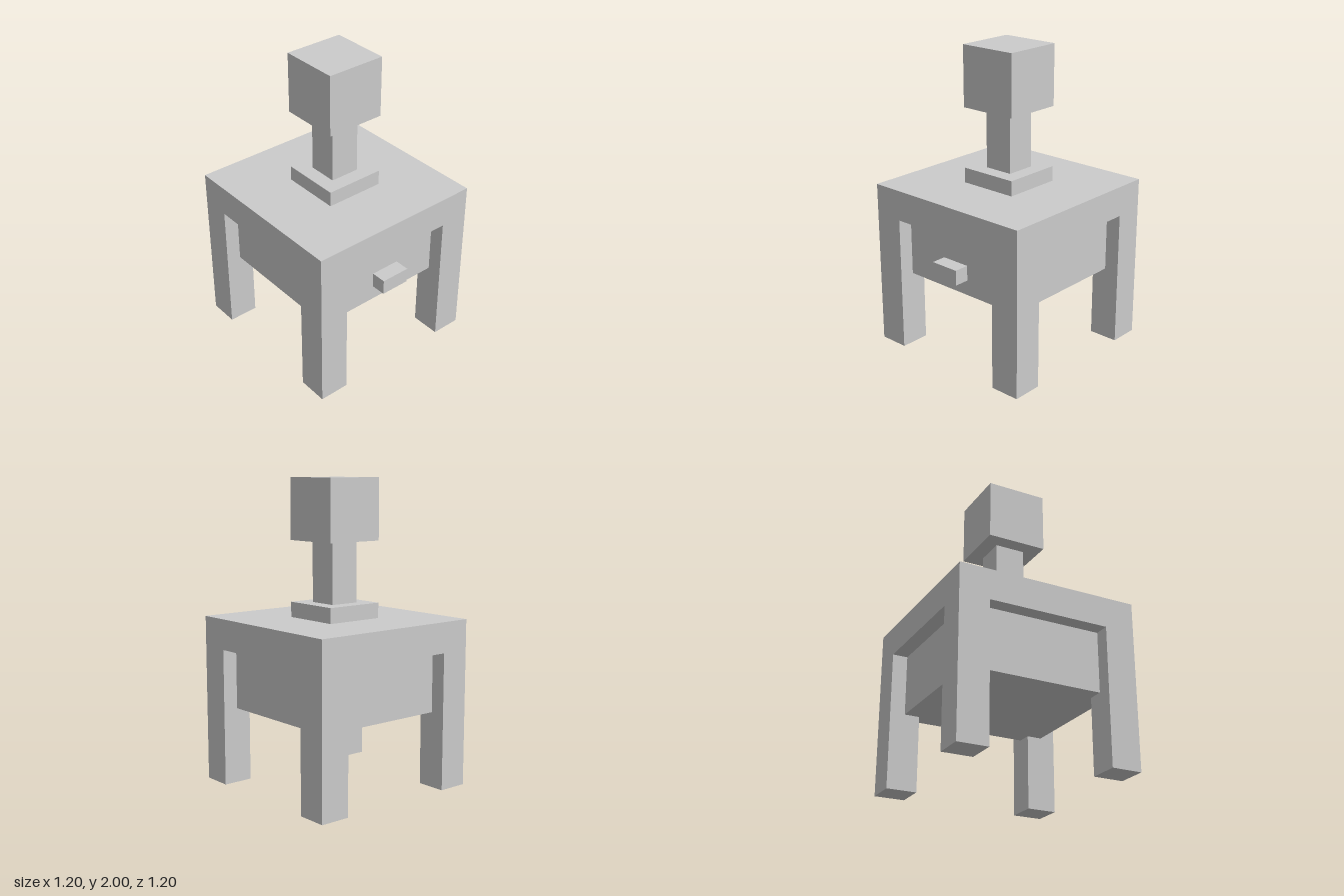
import * as THREE from 'three';

export function createModel() {
  const model = new THREE.Group();
  model.name = 'bedsideTableWithLamp';
  const material = new THREE.MeshStandardMaterial({ color: 0xcccccc, flatShading: true });

  // Box placed by the height of its underside
  function addBox(parent, name, [w, h, d], [x, bottom, z]) {
    const mesh = new THREE.Mesh(new THREE.BoxGeometry(w, h, d), material);
    mesh.name = name;
    mesh.position.set(x, bottom + h / 2, z);
    parent.add(mesh);
  }

  // Table: top slab, four corner legs, recessed drawer box and its handle
  const table = new THREE.Group();
  table.name = 'table';
  addBox(table, 'tableTop', [1.2, 0.2, 1.2], [0, 0.9, 0]);
  for (const [zName, z] of [['front', 0.5], ['back', -0.5]]) {
    for (const [xName, x] of [['Left', 0.5], ['Right', -0.5]]) {
      addBox(table, `${zName}${xName}Leg`, [0.2, 0.9, 0.2], [x, 0, z]);
    }
  }
  addBox(table, 'drawerBox', [1, 0.4, 1], [0, 0.5, 0]);
  addBox(table, 'drawerHandle', [0.2, 0.1, 0.1], [0, 0.6, 0.55]);

  // Lamp: base plate, stem and cubic shade
  const lamp = new THREE.Group();
  lamp.name = 'lamp';
  addBox(lamp, 'lampBase', [0.4, 0.1, 0.4], [0, 1.1, 0]);
  addBox(lamp, 'lampStem', [0.2, 0.4, 0.2], [0, 1.2, 0]);
  addBox(lamp, 'lampShade', [0.4, 0.4, 0.4], [0, 1.6, 0]);

  model.add(table, lamp);
  return model;
}
